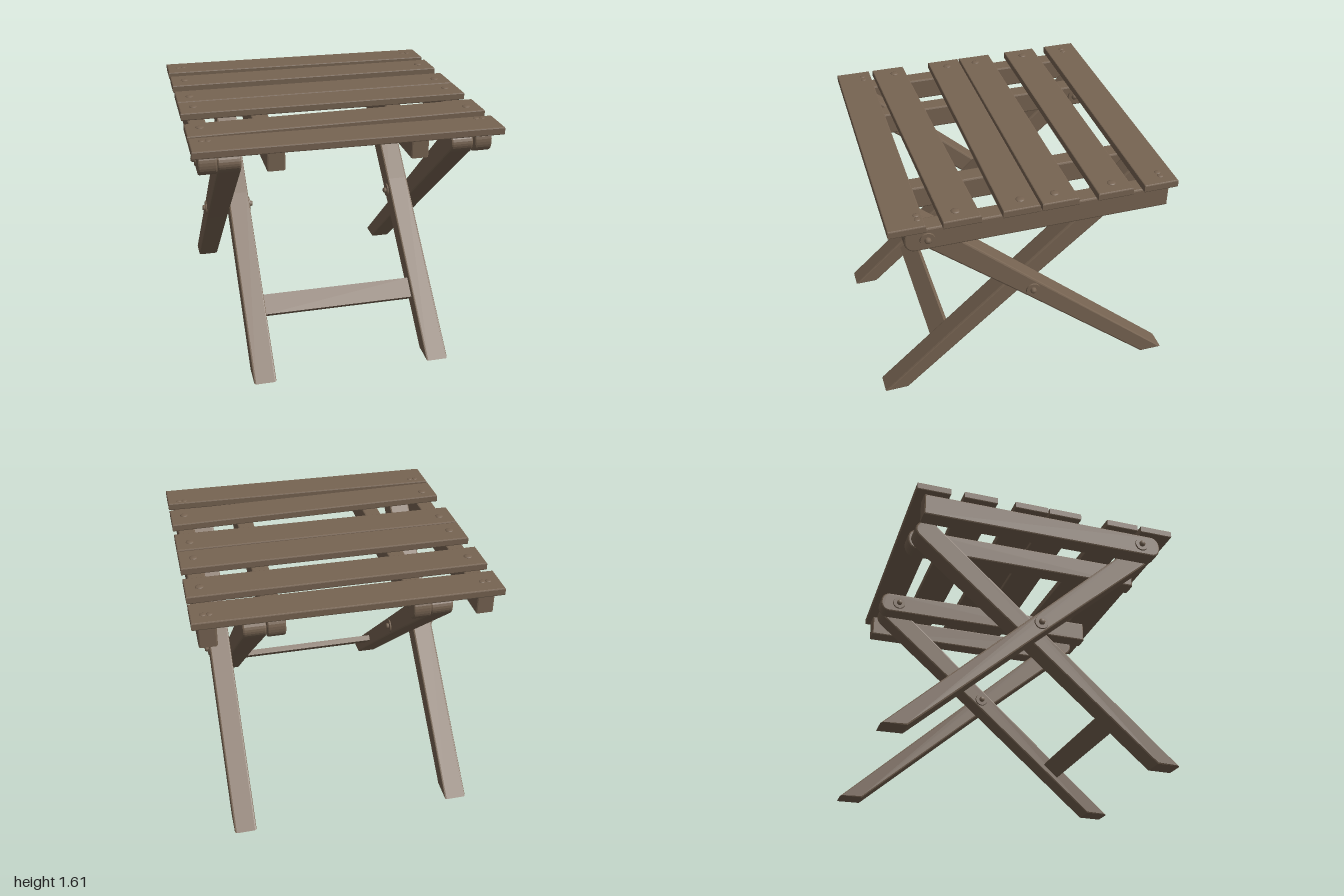
import * as THREE from 'three';

const wood = new THREE.MeshStandardMaterial({ color: 0x776452 });
wood.name = 'brown wood';

// Bevelled board cut from an outline and centred on its thickness
function board(shape, thickness, bevel) {
  const geo = new THREE.ExtrudeGeometry(shape, {
    depth: thickness - 2 * bevel, bevelThickness: bevel, bevelSize: bevel,
    bevelOffset: -bevel, bevelSegments: 2, curveSegments: 6,
  });
  return geo.translate(0, 0, -(thickness / 2 - bevel));
}

// Side outline in (z, y), extruded across x
const sideBoard = (shape, thickness, bevel) => board(shape, thickness, bevel).rotateY(-Math.PI / 2);

function add(parent, name, geo, x = 0, y = 0, z = 0) {
  const mesh = new THREE.Mesh(geo, wood);
  mesh.name = name;
  mesh.position.set(x, y, z);
  parent.add(mesh);
  return mesh;
}

// Leg: sloping foot at -z, rounded head at +z
function legShape() {
  const s = new THREE.Shape();
  s.moveTo(-1, 0);
  s.lineTo(-0.842, 0);
  s.lineTo(0, 0.735);
  s.lineTo(0.79, 1.41);
  s.quadraticCurveTo(0.835, 1.455, 0.81, 1.5);
  s.quadraticCurveTo(0.77, 1.56, 0.715, 1.548);
  s.lineTo(0.557, 1.41);
  s.lineTo(0, 0.905);
  return s;
}

// Seat rail: square at -z, rounded at +z
function railShape() {
  const s = new THREE.Shape();
  s.moveTo(-0.825, 1.405);
  s.lineTo(0.785, 1.405);
  s.quadraticCurveTo(0.838, 1.42, 0.838, 1.48);
  s.quadraticCurveTo(0.838, 1.54, 0.785, 1.556);
  s.lineTo(-0.825, 1.556);
  return s;
}

// Washer with a small domed nut, pointing along dir on x
function bolt(parent, x, y, z, dir) {
  const g = new THREE.Group();
  g.name = 'bolt';
  add(g, 'washer', new THREE.CylinderGeometry(0.045, 0.048, 0.012, 20), 0, 0.004, 0);
  const pts = [[0.02, 0], [0.02, 0.022], [0.014, 0.03], [0, 0.032]];
  add(g, 'nut', new THREE.LatheGeometry(pts.map(p => new THREE.Vector2(...p)), 12));
  g.position.set(x, y, z);
  g.rotation.z = -dir * Math.PI / 2;
  parent.add(g);
}

export function createModel() {
  const model = new THREE.Group();
  model.name = 'foldingStool';
  const legGeo = sideBoard(legShape(), 0.146, 0.012);
  const railGeo = sideBoard(railShape(), 0.115, 0.01);

  // Crossed legs, seat rails and their bolts on both sides
  for (const s of [1, -1]) {
    add(model, 'outerLeg', legGeo, s * 0.733);
    add(model, 'innerLeg', legGeo, s * 0.584).rotation.y = Math.PI;
    add(model, 'outerRail', railGeo, s * 0.864);
    add(model, 'innerRail', railGeo, s * 0.453).rotation.y = Math.PI;
    bolt(model, s * 0.92, 1.48, 0.7, s);
    bolt(model, s * 0.396, 1.48, -0.7, -s);
    bolt(model, s * 0.804, 0.817, 0, s);
    bolt(model, s * 0.512, 0.817, 0, -s);
  }

  // Stretcher between the inner legs, tilted with them
  const bar = new THREE.Shape();
  bar.moveTo(-0.07, -0.02);
  bar.lineTo(0.07, -0.02);
  bar.lineTo(0.07, 0.02);
  bar.lineTo(-0.07, 0.02);
  add(model, 'stretcher', sideBoard(bar, 1.06, 0.008), 0, 0.317, 0.568).rotation.x = 0.725;

  // Seat slats: back and front edge at -x, back and front edge at +x, screw z
  const slats = [
    [-0.884, -0.66, -0.863, -0.642, -0.775],
    [-0.57, -0.344, -0.57, -0.344, -0.46],
    [-0.222, 0.008, -0.222, 0.008, -0.095],
    [0.018, 0.243, 0.021, 0.25, 0.12],
    [0.434, 0.66, 0.38, 0.61, 0.515],
    [0.685, 0.915, 0.71, 0.935, 0.745],
  ];
  const dome = (r) => new THREE.SphereGeometry(r, 14, 4, 0, Math.PI * 2, 0, Math.PI / 2).scale(1, 0.3, 1);
  const smallScrew = dome(0.02), largeScrew = dome(0.028);
  slats.forEach(([lb, lf, rb, rf, screwZ], i) => {
    const s = new THREE.Shape();
    s.moveTo(-0.96, -lf);
    s.lineTo(0.957, -rf);
    s.lineTo(0.957, -rb);
    s.lineTo(-0.96, -lb);
    add(model, 'slat', board(s, 0.05, 0.007).rotateX(-Math.PI / 2), 0, 1.581, 0);
    const paired = i === 0 || i === 5;
    for (const x of paired ? [-0.885, -0.845, 0.84, 0.88] : [-0.868, 0.864]) {
      add(model, 'screw', paired ? smallScrew : largeScrew, x, 1.605, screwZ);
    }
  });
  return model;
}
